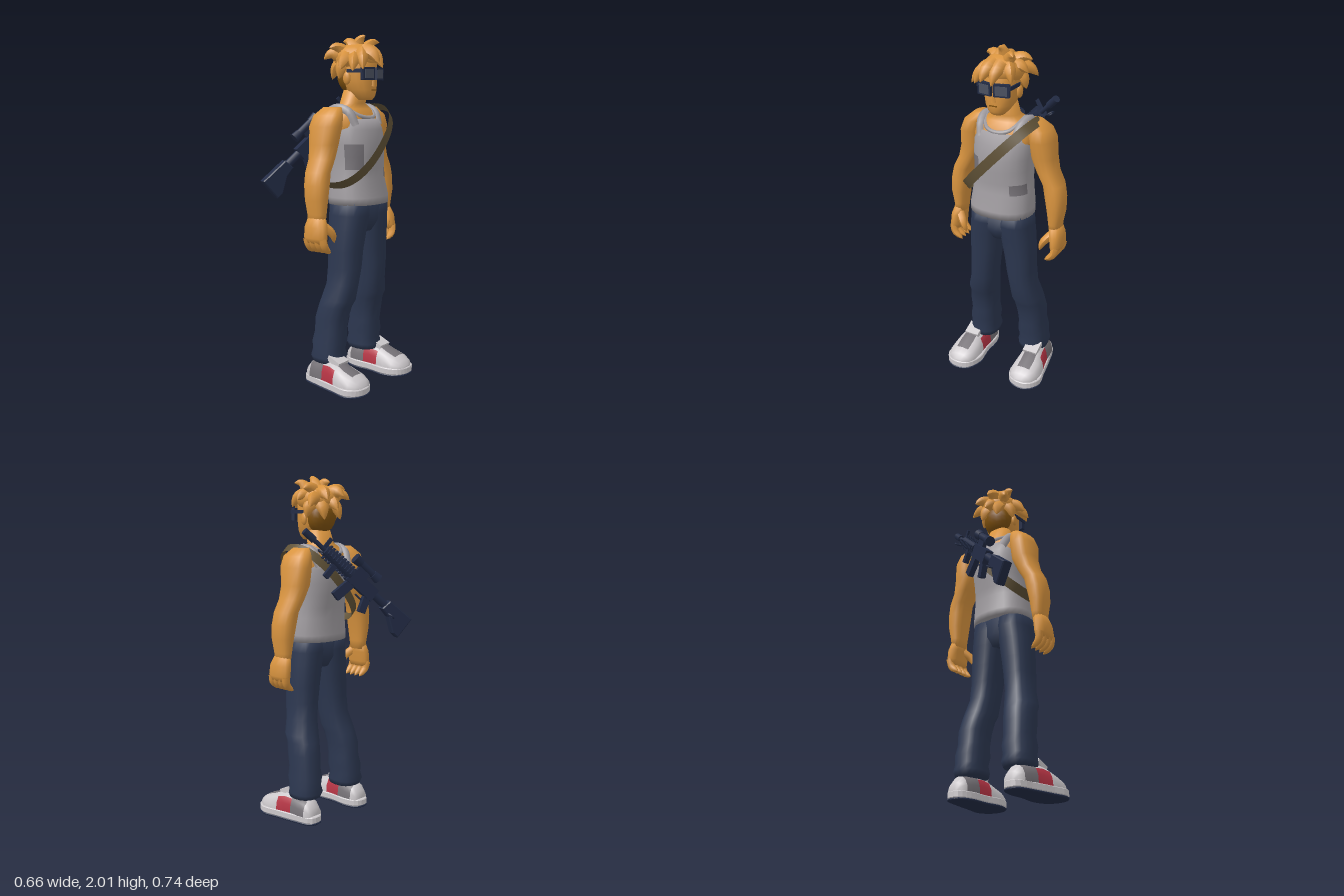
import * as THREE from 'three';

const mat = (name, color, side = THREE.FrontSide) => {
  const m = new THREE.MeshStandardMaterial({ color, side });
  m.name = name;
  return m;
};
const M = {
  skin: mat('skin and hair', 0xd9943f), brown: mat('dark hair', 0x80520f),
  denim: mat('denim', 0x2c3750), gun: mat('gun metal', 0x232c46),
  lens: mat('lens', 0x4b5160), shirt: mat('shirt grey', 0xa09ca0),
  dark: mat('dark grey', 0x757176), strap: mat('strap', 0x5f5136, THREE.DoubleSide),
  shoe: mat('shoe white', 0xcdc9cc), red: mat('red', 0xb53444),
};
const V = (a) => new THREE.Vector3(...a);

function add(parent, name, geo, material, pos = [0, 0, 0], rot = [0, 0, 0], scale = [1, 1, 1]) {
  const mesh = new THREE.Mesh(geo, material);
  mesh.name = name;
  mesh.position.set(...pos);
  mesh.rotation.set(...rot);
  mesh.scale.set(...scale);
  parent.add(mesh);
  return mesh;
}

// Skin over rounded rings [along, c1, c2, r1, r2]; axis 'y': c1 = x, c2 = z; axis 'x': c1 = z, c2 = y
function loft(secs, { sides = 16, axis = 'y', floor = -1, pick = () => 0 } = {}) {
  const pos = [], buckets = [[], [], []], n = secs.length;
  const put = (s, a, b) => (axis === 'y' ? pos.push(a, s, b) : pos.push(s, Math.max(b, floor), a));
  const soft = (v) => Math.sign(v) * Math.abs(v) ** 0.85;
  for (const [s, c1, c2, r1, r2] of secs)
    for (let j = 0; j < sides; j++) {
      const t = (j / sides) * Math.PI * 2;
      put(s, c1 + r1 * soft(Math.cos(t)), c2 + r2 * soft(Math.sin(t)));
    }
  put(secs[0][0], secs[0][1], secs[0][2]);
  put(secs[n - 1][0], secs[n - 1][1], secs[n - 1][2]);
  for (let j = 0; j < sides; j++) {
    const k = (j + 1) % sides, top = (n - 1) * sides;
    for (let i = 0; i < n - 1; i++) {
      const a = i * sides + j, b = i * sides + k;
      buckets[pick(i, j)].push(a, a + sides, b, b, a + sides, b + sides);
    }
    buckets[0].push(n * sides, j, k, n * sides + 1, top + k, top + j);
  }
  const g = new THREE.BufferGeometry();
  g.setAttribute('position', new THREE.Float32BufferAttribute(pos, 3));
  g.setIndex(buckets.flat());
  let start = 0;
  buckets.forEach((b, m) => { if (b.length) g.addGroup(start, b.length, m); start += b.length; });
  g.computeVertexNormals();
  return g;
}

// Curved tube narrowing to its tip
function taper(points, r, blunt = 1, sides = 7) {
  const curve = new THREE.CatmullRomCurve3(points.map(V)), n = 8;
  const g = new THREE.TubeGeometry(curve, n, r, sides), p = g.attributes.position, v = new THREE.Vector3();
  for (let i = 0; i < p.count; i++) {
    const t = Math.floor(i / (sides + 1)) / n, c = curve.getPointAt(t);
    v.fromBufferAttribute(p, i).sub(c).multiplyScalar((1 - t ** (1.4 * blunt)) ** 0.8).add(c);
    p.setXYZ(i, v.x, v.y, v.z);
  }
  g.computeVertexNormals();
  return g;
}

function addLimbs(root, s) {
  const flip = (rows) => rows.map(([y, x, z, a, b]) => [y, x, z * s, a, b]);
  add(root, 'trouserLeg', loft(flip([
    [0.14, 0.03, 0.17, 0.095, 0.085], [0.17, 0.025, 0.17, 0.106, 0.092], [0.21, 0.026, 0.17, 0.095, 0.084],
    [0.26, 0.03, 0.167, 0.103, 0.089], [0.32, 0.035, 0.164, 0.094, 0.081], [0.4, 0.043, 0.162, 0.098, 0.085],
    [0.47, 0.06, 0.152, 0.098, 0.085], [0.51, 0.078, 0.147, 0.102, 0.088], [0.6, 0.095, 0.13, 0.095, 0.08],
    [0.7, 0.103, 0.12, 0.1, 0.083], [0.8, 0.104, 0.112, 0.102, 0.09], [0.92, 0.108, 0.1, 0.112, 0.096],
    [1.0, 0.111, 0.088, 0.118, 0.1], [1.09, 0.112, 0.083, 0.12, 0.1]])), M.denim);
  add(root, 'arm', loft(flip([
    [0.97, 0.055, 0.31, 0.055, 0.033], [1.02, 0.054, 0.308, 0.06, 0.037], [1.1, 0.053, 0.31, 0.07, 0.05],
    [1.18, 0.05, 0.302, 0.075, 0.058], [1.25, 0.046, 0.288, 0.075, 0.058], [1.32, 0.042, 0.25, 0.078, 0.06],
    [1.4, 0.037, 0.224, 0.085, 0.07], [1.5, 0.042, 0.215, 0.1, 0.07], [1.56, 0.047, 0.198, 0.09, 0.062],
    [1.605, 0.05, 0.165, 0.055, 0.04]])), M.skin);
  // Hand with curled fingers and thumb
  const hand = new THREE.Group();
  hand.name = 'hand';
  root.add(hand);
  add(hand, 'palm', loft(flip([[0.86, 0.06, 0.325, 0.07, 0.025], [0.89, 0.062, 0.328, 0.078, 0.036],
    [0.95, 0.06, 0.322, 0.074, 0.038], [1.0, 0.055, 0.31, 0.056, 0.034]]), { sides: 12 }), M.skin);
  for (let i = 0; i < 4; i++) {
    const x = 0.002 + i * 0.038;
    add(hand, 'finger', taper([[x, 0.89, 0.335 * s], [x + 0.006, 0.84, 0.322 * s], [x + 0.006, 0.8, 0.272 * s]], 0.023, 2.5), M.skin);
  }
  add(hand, 'thumb', taper([[0.09, 0.96, 0.305 * s], [0.125, 0.91, 0.262 * s], [0.125, 0.855, 0.242 * s]], 0.026, 2), M.skin);

  // Shoe: layered sole, upper with coloured panels, tongue
  const shoe = new THREE.Group();
  shoe.name = 'shoe';
  root.add(shoe);
  const outline = [[-0.095, 0.16], [-0.095, 0.235], [0.02, 0.27], [0.15, 0.295], [0.25, 0.312], [0.31, 0.275],
    [0.326, 0.21], [0.3, 0.145], [0.22, 0.112], [0.1, 0.125], [-0.02, 0.125]];
  const shape = new THREE.Shape(new THREE.CatmullRomCurve3(outline.map(([x, z]) => V([x, z * s, 0])), true)
    .getPoints(36).slice(0, -1).map((p) => new THREE.Vector2(p.x, p.y)));
  const slab = (depth) => new THREE.ExtrudeGeometry(shape,
    { depth, bevelSize: 0.004, bevelThickness: 0.004, bevelSegments: 1 }).rotateX(Math.PI / 2);
  add(shoe, 'sole', slab(0.03), M.shoe, [0, 0.046, 0]);
  add(shoe, 'tread', slab(0.004), M.gun, [0, 0.008, 0]);
  const rows = [[-0.085, 0.195, 0.05, 0.1], [-0.05, 0.196, 0.064, 0.14], [0, 0.198, 0.07, 0.15], [0.05, 0.2, 0.073, 0.165],
    [0.1, 0.205, 0.077, 0.17], [0.15, 0.21, 0.085, 0.158], [0.2, 0.213, 0.092, 0.135], [0.26, 0.213, 0.09, 0.112],
    [0.3, 0.212, 0.07, 0.09], [0.32, 0.211, 0.035, 0.06]];
  const pick = (i, j) => {
    if ((i === 3 || i === 4) && [0, 1, 6, 7].includes(j)) return 2;
    if (j >= 3 && j <= 4 && (i === 6 || i === 5)) return 1;
    return (i === 1 || i === 2) && j < 8 && j !== 3 && j !== 4 ? 1 : 0;
  };
  add(shoe, 'upper', loft(rows.map(([x, z, w, top]) => [x, z * s, 0.045, w, top - 0.045]),
    { axis: 'x', floor: 0.03, pick }), [M.shoe, M.dark, M.red]);
  add(shoe, 'tongue', new THREE.BoxGeometry(0.085, 0.03, 0.09), M.shoe, [0.12, 0.165, 0.205 * s], [0, 0, -0.4]);
}

function addHead(root) {
  const head = new THREE.Group();
  head.name = 'head';
  root.add(head);
  add(head, 'face', loft([[1.645, 0.155, 0, 0.04, 0.035], [1.665, 0.145, 0, 0.065, 0.055], [1.7, 0.128, 0, 0.086, 0.078],
    [1.75, 0.113, 0, 0.1, 0.092], [1.8, 0.107, 0, 0.105, 0.096], [1.86, 0.104, 0, 0.108, 0.096], [1.93, 0.1, 0, 0.08, 0.07]]), M.skin);
  add(head, 'nose', new THREE.ConeGeometry(0.02, 0.06, 5), M.skin, [0.212, 1.752, 0], [0, 0, -0.25]);
  add(head, 'mouth', new THREE.BoxGeometry(0.006, 0.006, 0.045), M.brown, [0.214, 1.7, 0]);
  add(head, 'napeHair', new THREE.SphereGeometry(1, 16, 10), M.brown, [0.06, 1.775, 0], [0, 0, 0.2], [0.075, 0.1, 0.095]);
  for (const s of [1, -1]) {
    add(head, 'ear', new THREE.SphereGeometry(1, 10, 8), M.skin, [0.1, 1.765, 0.098 * s], [0, 0.2 * s, 0], [0.024, 0.036, 0.014]);
    // Sunglasses
    add(head, 'glassesFrame', new THREE.BoxGeometry(0.022, 0.07, 0.088), M.gun, [0.21, 1.79, 0.05 * s], [0, -0.2 * s, 0]);
    add(head, 'lens', new THREE.BoxGeometry(0.006, 0.05, 0.066), M.lens, [0.221, 1.789, 0.051 * s], [0, -0.2 * s, 0]);
    add(head, 'glassesTemple', new THREE.BoxGeometry(0.11, 0.02, 0.008), M.gun, [0.155, 1.805, 0.098 * s]);
  }
  // Hair: cap with spikes [root, tip, thickness]
  add(head, 'hairCap', new THREE.SphereGeometry(1, 18, 12), M.skin, [0.09, 1.875, 0], [0, 0, 0], [0.13, 0.085, 0.118]);
  const spikes = [
    [[0.03, 1.9, -0.03], [-0.075, 1.87, -0.08], 0.05], [[0.04, 1.88, -0.06], [-0.01, 1.83, -0.155], 0.045],
    [[0.02, 1.9, 0.03], [-0.09, 1.89, 0.03], 0.05], [[0.03, 1.86, 0.02], [-0.075, 1.81, 0.0], 0.05],
    [[0.03, 1.89, 0.06], [-0.04, 1.87, 0.13], 0.045], [[0.05, 1.9, 0.04], [0.015, 1.93, 0.15], 0.045],
    [[0.09, 1.88, 0.06], [0.11, 1.81, 0.172], 0.05], [[0.13, 1.88, 0.06], [0.18, 1.8, 0.15], 0.045],
    [[0.16, 1.9, 0.04], [0.22, 1.81, 0.11], 0.045], [[0.17, 1.91, 0.02], [0.28, 1.84, 0.04], 0.05],
    [[0.17, 1.91, -0.02], [0.265, 1.82, -0.015], 0.045], [[0.14, 1.9, -0.05], [0.2, 1.83, -0.1], 0.045],
    [[0.1, 1.89, -0.05], [0.1, 1.87, -0.15], 0.05], [[0.07, 1.91, -0.04], [0.05, 1.93, -0.15], 0.045],
    [[0.08, 1.92, -0.01], [0.155, 2.0, 0.0], 0.045], [[0.1, 1.92, 0.02], [0.02, 1.97, 0.03], 0.045],
    [[0.12, 1.92, -0.04], [0.18, 1.965, -0.1], 0.04], [[0.06, 1.85, 0.07], [0.06, 1.76, 0.118], 0.045],
    [[0.06, 1.85, -0.07], [0.06, 1.77, -0.118], 0.045], [[0.02, 1.85, 0.04], [-0.035, 1.76, 0.06], 0.045],
    [[0.02, 1.85, -0.04], [-0.03, 1.76, -0.06], 0.045]];
  for (const [a, b, r] of spikes) {
    const mid = V(a).lerp(V(b), 0.55);
    mid.y += 0.022;
    add(head, 'hairSpike', taper([a, mid.toArray(), b], r), M.skin);
  }
}

// Rifle built along x (muzzle at +x), then slung diagonally across the back
function addRifle(root) {
  const g = new THREE.Group();
  g.name = 'rifle';
  root.add(g);
  const box = (name, size, pos, tilt = 0) => add(g, name, new THREE.BoxGeometry(...size), M.gun, pos, [0, 0, tilt]);
  const rod = (name, r0, r1, x0, x1, y = 0, n = 12) =>
    add(g, name, new THREE.CylinderGeometry(r1, r0, x1 - x0, n), M.gun, [(x0 + x1) / 2, y, 0], [0, 0, -Math.PI / 2]);
  rod('barrel', 0.013, 0.013, 0.2, 0.4);
  rod('muzzle', 0.021, 0.021, 0.345, 0.42);
  rod('handguard', 0.036, 0.033, 0.05, 0.26, 0, 8);
  for (let i = 0; i < 9; i++) box('railRib', [0.011, 0.088, 0.024], [0.065 + i * 0.022, 0, 0]);
  for (let i = 0; i < 9; i++) box('railRib', [0.011, 0.024, 0.088], [0.065 + i * 0.022, 0, 0]);
  box('frontSight', [0.022, 0.075, 0.012], [0.27, 0.035, 0]);
  box('receiver', [0.2, 0.08, 0.048], [-0.04, -0.005, 0]);
  box('magazine', [0.055, 0.13, 0.034], [0.03, -0.095, 0], 0.2);
  box('foregrip', [0.032, 0.085, 0.03], [0.16, -0.07, 0]);
  box('grip', [0.042, 0.1, 0.034], [-0.125, -0.08, 0], -0.35);
  box('trigger', [0.05, 0.008, 0.012], [-0.07, -0.07, 0]);
  box('scopeMount', [0.08, 0.04, 0.024], [0, 0.05, 0]);
  rod('scope', 0.022, 0.022, -0.07, 0.07, 0.085);
  rod('scopeEye', 0.03, 0.025, -0.1, -0.055, 0.085);
  rod('scopeFront', 0.025, 0.032, 0.04, 0.09, 0.085);
  rod('stockTube', 0.024, 0.024, -0.36, -0.12);
  const stock = new THREE.Shape([[-0.41, 0.035], [-0.24, 0.03], [-0.23, -0.025], [-0.29, -0.035], [-0.375, -0.09], [-0.41, -0.09]]
    .map(([x, y]) => new THREE.Vector2(x, y)));
  add(g, 'stock', new THREE.ExtrudeGeometry(stock, { depth: 0.044, bevelSize: 0.006, bevelThickness: 0.006, bevelSegments: 1 }), M.gun, [0, 0, -0.022]);
  for (const x of [-0.29, 0.28])
    add(g, 'slingLoop', new THREE.TorusGeometry(0.02, 0.005, 6, 12), M.gun, [x, -0.03, -0.035], [Math.PI / 2, 0, 0]);
  const X = V([0.293, 0.658, -0.694]).normalize(), Z = V([0.921, 0, 0.389]).normalize();
  g.quaternion.setFromRotationMatrix(new THREE.Matrix4().makeBasis(X, Z.clone().cross(X), Z));
  g.position.set(-0.18, 1.425, 0.05);
}

// Flat band looping diagonally around the torso
function strapGeometry() {
  const pos = [], index = [], n = 48;
  for (let i = 0; i < n; i++) {
    const t = (i / n) * Math.PI * 2, c = Math.cos(t), s = Math.sin(t);
    const x = 0.092 + 0.19 * Math.sign(c) * Math.abs(c) ** 0.85, d = 0.3 * Math.sign(s) * Math.abs(s) ** 0.9;
    for (const w of [-0.028, 0.028]) pos.push(x, 1.39 + 0.72 * d + 0.69 * w, 0.01 - 0.69 * d + 0.72 * w);
    const a = i * 2, b = ((i + 1) % n) * 2;
    index.push(a, a + 1, b, b, a + 1, b + 1);
  }
  const g = new THREE.BufferGeometry();
  g.setAttribute('position', new THREE.Float32BufferAttribute(pos, 3));
  g.setIndex(index);
  g.computeVertexNormals();
  return g;
}

export function createModel() {
  const root = new THREE.Group();
  root.name = 'figure';
  for (const s of [1, -1]) addLimbs(root, s);
  add(root, 'hips', loft([[0.9, 0.108, 0, 0.08, 0.06], [0.96, 0.11, 0, 0.11, 0.13], [1.09, 0.112, 0, 0.122, 0.175]]), M.denim);
  add(root, 'neckAndShoulders', loft([[1.4, 0.08, 0, 0.12, 0.15], [1.5, 0.07, 0, 0.122, 0.185], [1.56, 0.066, 0, 0.108, 0.17],
    [1.595, 0.062, 0, 0.085, 0.13], [1.625, 0.066, 0, 0.065, 0.08], [1.7, 0.085, 0, 0.06, 0.07]], { sides: 20 }), M.skin);
  // Sleeveless shirt with darker folds, shoulder straps and neckline
  add(root, 'shirt', loft([[1.06, 0.11, 0, 0.15, 0.186], [1.1, 0.11, 0, 0.15, 0.188], [1.2, 0.1, 0, 0.134, 0.177],
    [1.26, 0.097, 0, 0.138, 0.17], [1.33, 0.09, 0, 0.146, 0.168], [1.4, 0.085, 0, 0.152, 0.172], [1.48, 0.075, 0, 0.146, 0.174],
    [1.54, 0.068, 0, 0.128, 0.155]], { sides: 24,
    pick: (i, j) => ((i === 3 || i === 4) && j > 1 && j < 5) || (i === 2 && j > 18 && j < 22) ? 1 : 0 }), [M.shirt, M.dark]);
  for (const s of [1, -1]) {
    const path = new THREE.CatmullRomCurve3([[0.165, 1.5, 0.105], [0.13, 1.575, 0.12], [0.065, 1.598, 0.128],
      [0, 1.575, 0.125], [-0.04, 1.5, 0.105]].map(([x, y, z]) => V([x, y, z * s])));
    add(root, 'shirtStrap', new THREE.TubeGeometry(path, 14, 0.028, 8), M.shirt);
  }
  const neckline = new THREE.CatmullRomCurve3([[0.185, 1.545, 0], [0.165, 1.558, 0.07], [0.065, 1.612, 0.112], [-0.03, 1.575, 0.07],
    [-0.045, 1.565, 0], [-0.03, 1.575, -0.07], [0.065, 1.612, -0.112], [0.165, 1.558, -0.07]].map(V), true);
  add(root, 'neckline', new THREE.TubeGeometry(neckline, 40, 0.012, 6, true), M.shirt);
  addHead(root);
  addRifle(root);
  add(root, 'sling', strapGeometry(), M.strap);
  return root;
}
